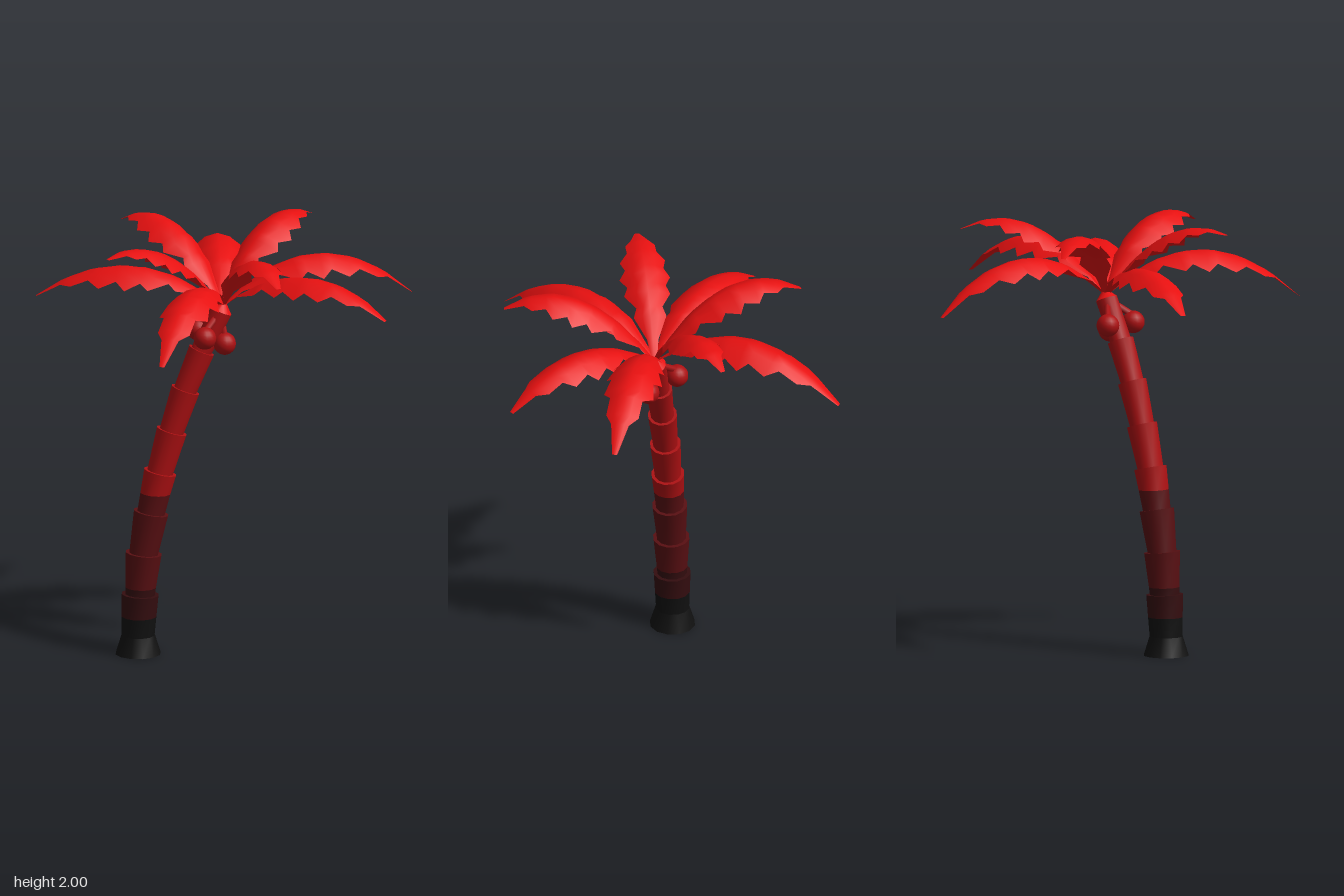
import * as THREE from 'three';

const paint = (name, color, extra = {}) => {
  const m = new THREE.MeshStandardMaterial({ color, ...extra });
  m.name = name;
  return m;
};

// Joins equal-length rows of points into a smooth surface
function surface(rows, closed) {
  const n = rows[0].length, index = [];
  for (let r = 0; r < rows.length - 1; r++) {
    for (let c = 0; c < (closed ? n : n - 1); c++) {
      const a = r * n + c, b = r * n + (c + 1) % n;
      index.push(a, a + n, b, a + n, b + n, b);
    }
  }
  const g = new THREE.BufferGeometry();
  g.setAttribute('position', new THREE.Float32BufferAttribute(rows.flat().flatMap(p => p.toArray()), 3));
  g.setIndex(index);
  g.computeVertexNormals();
  return g;
}

const Z = 0.05; // depth of the trunk and crown centre

// Trunk ring, tilted to follow the lean
function ring([x, y, r, tilt = 0]) {
  return Array.from({ length: 12 }, (_, i) => {
    const a = i / 12 * Math.PI * 2, c = r * Math.cos(a);
    return new THREE.Vector3(x + c * Math.cos(tilt), y - c * Math.sin(tilt), Z + r * Math.sin(a));
  });
}

// Half widths of the toothed leaf: [distance along, half width]
const TEETH = [[0, 0.012], [0.1, 0.03], [0.22, 0.085], [0.27, 0.068], [0.365, 0.12], [0.417, 0.1],
  [0.505, 0.132], [0.56, 0.1], [0.667, 0.118], [0.72, 0.077], [0.82, 0.077], [0.87, 0.042], [1, 0.012]];

// Arched leaf from the crown to a tip, with drooping sides
function frondGeometry(tip, arch, width) {
  const start = new THREE.Vector3(-0.04, 1.65, Z);
  const mid = start.clone().lerp(tip, 0.5).setY(arch);
  const spine = new THREE.QuadraticBezierCurve3(start, mid, tip);
  const flat = tip.clone().sub(start).setY(0).normalize();
  const side = new THREE.Vector3(-flat.z, 0, flat.x);
  const rows = TEETH.map(([t, w]) => {
    const p = spine.getPoint(t);
    const up = side.clone().cross(spine.getTangent(t));
    return [1, 0.5, 0, -0.5, -1].map(u => {
      const s = u * w * width;
      return p.clone().addScaledVector(side, s).addScaledVector(up, -5 * s * s);
    });
  });
  return surface(rows, false);
}

export function createModel() {
  const model = new THREE.Group();
  model.name = 'palmTree';
  const black = paint('base black', 0x101010);
  const darkest = paint('deep maroon', 0x340d0f);
  const dark = paint('maroon', 0x580f12);
  const bark = paint('bark red', 0xac1012);
  const leaf = paint('leaf red', 0xe61010, { side: THREE.DoubleSide });
  const add = (name, geometry, material, parent = model) => {
    const mesh = new THREE.Mesh(geometry, material);
    mesh.name = name;
    parent.add(mesh);
    return mesh;
  };

  // Flared foot
  const trunk = new THREE.Group();
  trunk.name = 'trunk';
  model.add(trunk);
  const band = (name, a, b, mat) => add(name, surface([ring(a), ring(b)], true), mat, trunk);
  band('footUnderside', [-0.44, 0, 0], [-0.44, 0, 0.107], black);
  band('footFlare', [-0.44, 0, 0.107], [-0.44, 0.09, 0.079], black);
  band('footNeck', [-0.44, 0.09, 0.079], [-0.435, 0.18, 0.083], black);
  band('lowerTrunk', [-0.435, 0.18, 0.083], [-0.43, 0.285, 0.088, 0.05], darkest);

  // Stacked trunk segments, each wider at its top: [x, y, top radius, tilt]
  const tops = [[-0.43, 0.285, 0.088, 0.05], [-0.413, 0.482, 0.086, 0.1], [-0.378, 0.677, 0.083, 0.18],
    [-0.335, 0.87, 0.078, 0.23], [-0.28, 1.065, 0.073, 0.29], [-0.215, 1.26, 0.069, 0.34],
    [-0.138, 1.445, 0.063, 0.4], [-0.045, 1.63, 0.052, 0.4]];
  const cuts = { 0: [0.32, darkest, dark], 2: [0.77, dark, bark] }; // colour change inside a segment
  for (let i = 0; i < tops.length - 1; i++) {
    const [x, y, r, tilt] = tops[i], end = tops[i + 1];
    const foot = [x, y, r * 0.8, tilt];
    const mat = i < 3 ? dark : bark;
    band('segmentLedge', tops[i], foot, i === 0 ? darkest : mat);
    if (cuts[i]) {
      const [h, below, above] = cuts[i], t = (h - y) / (end[1] - y);
      const cut = [x + (end[0] - x) * t, h, foot[2] + (end[2] - foot[2]) * t, tilt * 0.3];
      band('segmentLower', foot, cut, below);
      band('segmentUpper', cut, end, above);
    } else band('segment', foot, end, mat);
  }
  band('crownHub', tops[7], [-0.04, 1.665, 0.02, 0], leaf);

  // Coconuts hanging on short stems
  for (const [x, y, z] of [[-0.14, 1.525, 0.13], [-0.035, 1.48, 0.08], [-0.14, 1.525, -0.035]]) {
    add('coconut', new THREE.SphereGeometry(0.053, 16, 12), bark).position.set(x, y, z);
    const path = new THREE.LineCurve3(new THREE.Vector3(x, y + 0.03, z), new THREE.Vector3(-0.05, 1.63, Z));
    add('coconutStem', new THREE.TubeGeometry(path, 1, 0.016, 6), bark);
  }

  // Fronds: tip x, y, z, arch height, width scale
  const fronds = [
    [0.12, 1.62, -0.86, 2.085, 1], [0.86, 1.67, 0.05, 2.1, 1], [0.62, 1.69, 0.59, 2.02, 0.95],
    [-0.5, 1.61, 0.855, 2.06, 1], [-0.86, 1.67, -0.25, 2.0, 1],
    [0.48, 1.95, -0.385, 2.14, 0.9], [0.08, 1.92, 0.74, 2.14, 0.92],
    [-0.63, 1.97, 0.26, 2.09, 0.9], [-0.39, 1.92, -0.57, 2.15, 0.9],
  ];
  for (const [x, y, z, arch, width] of fronds) {
    add('frond', frondGeometry(new THREE.Vector3(x, y, z), arch, width), leaf);
  }
  return model;
}
